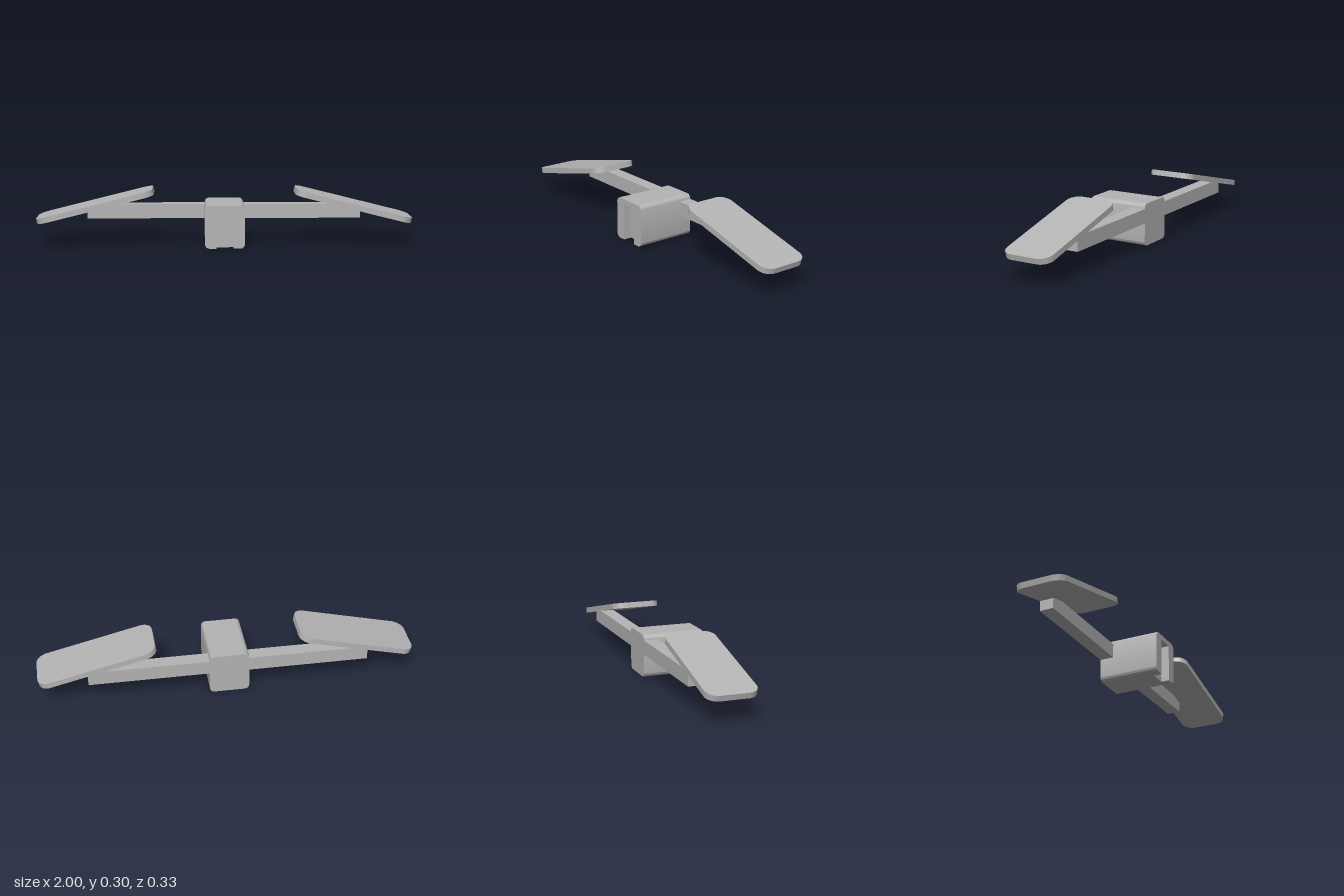
import * as THREE from 'three';
import { toCreasedNormals } from 'three/addons/utils/BufferGeometryUtils.js';

// Rounded rectangle centred on x; an optional slot opens through its bottom edge
function outline(w, y0, y1, r, slotHalf = 0, slotTop = 0) {
  const h = w / 2, s = new THREE.Shape();
  s.moveTo(-h + r, y0);
  if (slotHalf) {
    s.lineTo(-slotHalf, y0);
    s.lineTo(-slotHalf, slotTop);
    s.lineTo(slotHalf, slotTop);
    s.lineTo(slotHalf, y0);
  }
  s.lineTo(h - r, y0);
  s.absarc(h - r, y0 + r, r, -Math.PI / 2, 0);
  s.absarc(h - r, y1 - r, r, 0, Math.PI / 2);
  s.absarc(-h + r, y1 - r, r, Math.PI / 2, Math.PI);
  s.absarc(-h + r, y0 + r, r, Math.PI, Math.PI * 1.5);
  return s;
}

function slab(shape, depth) {
  const g = new THREE.ExtrudeGeometry(shape, { depth, bevelEnabled: false, curveSegments: 10 });
  return toCreasedNormals(g, 0.6);
}

export function createModel() {
  const model = new THREE.Group();
  const grey = new THREE.MeshStandardMaterial({ color: 0xb4b4b4 });
  grey.name = 'grey';

  const add = (name, geometry, x = 0, y = 0, z = 0) => {
    const mesh = new THREE.Mesh(geometry, grey);
    mesh.name = name;
    mesh.position.set(x, y, z);
    model.add(mesh);
    return mesh;
  };

  // Central block: solid behind, slotted at the front
  const slotDepth = 0.045;
  add('blockRear', slab(outline(0.21, 0, 0.227, 0.025), 0.33 - slotDepth), 0, 0, -0.165);
  add('blockFront', slab(outline(0.21, 0, 0.227, 0.025, 0.045, 0.2), slotDepth), 0, 0, 0.165 - slotDepth);

  // Arms and tilted paddles, mirrored
  const paddle = slab(outline(0.635, -0.1325, 0.1325, 0.06), 0.03);
  paddle.translate(0, 0, -0.015).rotateX(-Math.PI / 2);
  for (const [side, s] of [['left', 1], ['right', -1]]) {
    add(side + 'Arm', new THREE.BoxGeometry(0.64, 0.077, 0.075), s * 0.42, 0.1625, -0.1275);
    add(side + 'Paddle', paddle, s * 0.688, 0.2075, -0.0325).rotation.z = -s * THREE.MathUtils.degToRad(14);
  }
  return model;
}
